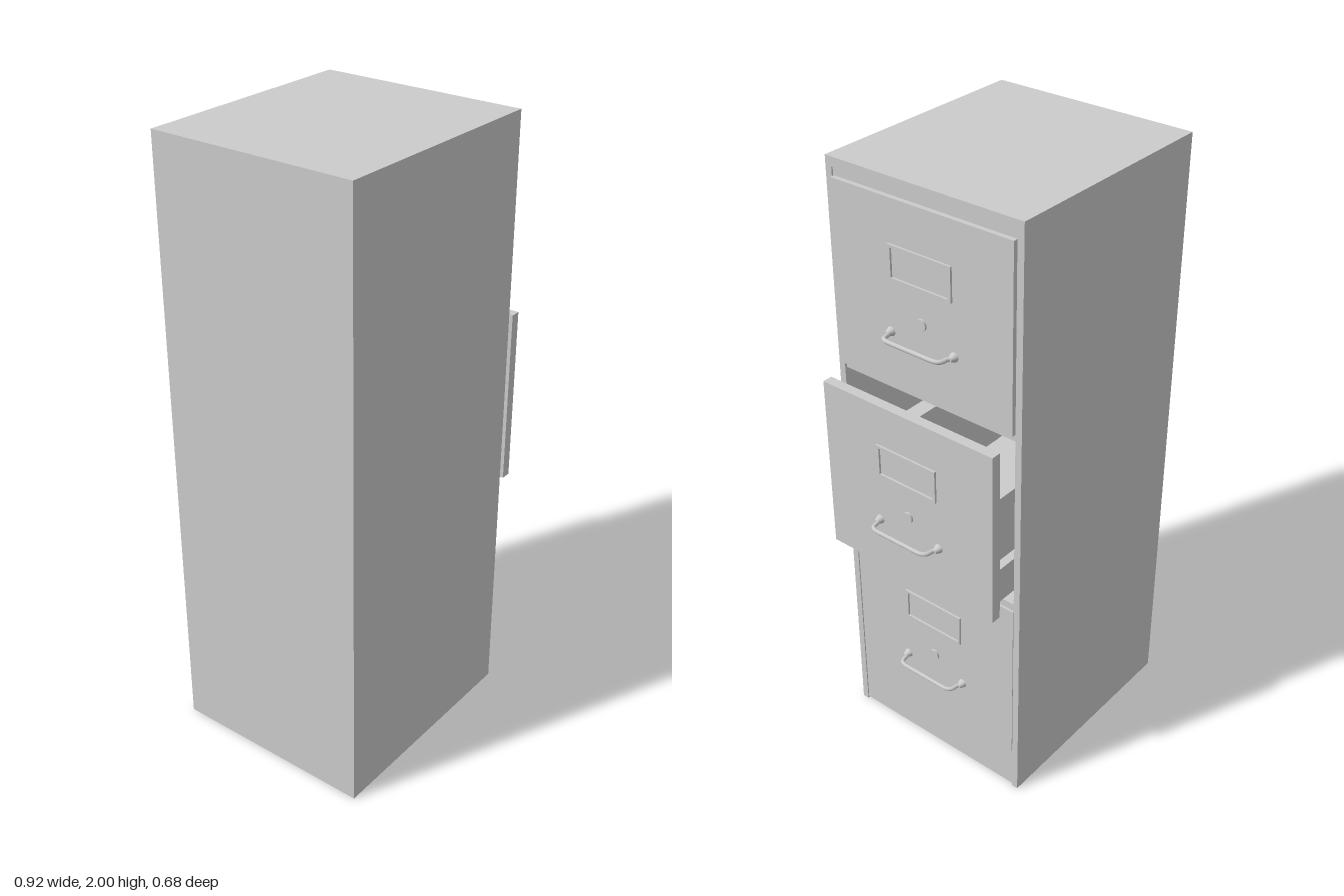
import * as THREE from 'three';

const grey = new THREE.MeshStandardMaterial({ color: 0xcccccc });

function mesh(parent, name, geometry) {
  const m = new THREE.Mesh(geometry, grey);
  m.name = name;
  parent.add(m);
  return m;
}

// Box given by its lower and upper limits on each axis
function block(parent, name, [x0, x1], [y0, y1], [z0, z1]) {
  const m = mesh(parent, name, new THREE.BoxGeometry(x1 - x0, y1 - y0, z1 - z0));
  m.position.set((x0 + x1) / 2, (y0 + y1) / 2, (z0 + z1) / 2);
  return m;
}

// Rectangular card holder with a raised rim
function labelFrame(parent) {
  const rect = (path, w, h) => path.moveTo(-w, -h).lineTo(w, -h).lineTo(w, h).lineTo(-w, h).closePath();
  const shape = rect(new THREE.Shape(), 0.112, 0.054);
  shape.holes.push(rect(new THREE.Path(), 0.102, 0.045));
  const m = mesh(parent, 'labelFrame', new THREE.ExtrudeGeometry(shape, { depth: 0.007, bevelEnabled: false }));
  m.rotation.y = Math.PI / 2;
  m.position.y = 0.393;
}

// Bowed pull with two flared feet
function handle(parent) {
  const group = new THREE.Group();
  group.name = 'handle';
  group.position.y = 0.175;
  parent.add(group);
  const v = (x, z) => new THREE.Vector3(x, 0, z);
  const path = new THREE.CurvePath();
  path.add(new THREE.LineCurve3(v(0.005, -0.118), v(0.022, -0.108)));
  path.add(new THREE.CubicBezierCurve3(v(0.022, -0.108), v(0.05, -0.108), v(0.053, -0.095), v(0.053, -0.07)));
  path.add(new THREE.LineCurve3(v(0.053, -0.07), v(0.053, 0.07)));
  path.add(new THREE.CubicBezierCurve3(v(0.053, 0.07), v(0.053, 0.095), v(0.05, 0.108), v(0.022, 0.108)));
  path.add(new THREE.LineCurve3(v(0.022, 0.108), v(0.005, 0.118)));
  mesh(group, 'grip', new THREE.TubeGeometry(path, 64, 0.007, 10));
  for (const s of [-1, 1]) {
    const foot = mesh(group, 'handleFoot', new THREE.CylinderGeometry(0.007, 0.015, 0.02, 12));
    foot.rotation.z = -Math.PI / 2;
    foot.position.set(0.01, 0, s * 0.115);
  }
}

// Drawer front with its fittings; origin is at the bottom of its outer face
function drawer(parent, name, x, y, thickness) {
  const group = new THREE.Group();
  group.name = name;
  group.position.set(x, y, 0);
  parent.add(group);
  block(group, 'drawerFront', [-thickness, 0], [0, 0.58], [-0.317, 0.317]);
  labelFrame(group);
  const lock = mesh(group, 'lock', new THREE.CylinderGeometry(0.018, 0.018, 0.008, 20));
  lock.rotation.z = Math.PI / 2;
  lock.position.set(0.003, 0.235, 0);
  handle(group);
  return group;
}

export function createModel() {
  const cabinet = new THREE.Group();
  cabinet.name = 'filingCabinet';

  // Outer shell, open at the front
  block(cabinet, 'topPanel', [-0.46, 0.303], [1.97, 2], [-0.342, 0.342]);
  block(cabinet, 'backPanel', [-0.46, -0.44], [0, 1.97], [-0.342, 0.342]);
  for (const s of [-1, 1]) {
    const z = [s * 0.32, s * 0.342].sort((a, b) => a - b);
    block(cabinet, 'sidePanel', [-0.44, 0.303], [0, 1.97], z);
  }
  block(cabinet, 'bottomPanel', [-0.44, 0.295], [0.006, 0.025], [-0.32, 0.32]);
  block(cabinet, 'kickPlate', [0.275, 0.299], [0.006, 0.152], [-0.32, 0.32]);
  block(cabinet, 'headerRail', [0.27, 0.298], [1.945, 1.97], [-0.32, 0.32]);

  // Dividers between the drawers
  for (const y of [0.735, 1.34]) {
    block(cabinet, 'divider', [-0.44, 0.295], [y, y + 0.025], [-0.32, 0.32]);
  }

  // Closed drawers and the middle one pulled out
  drawer(cabinet, 'bottomDrawer', 0.302, 0.155, 0.03);
  const middle = drawer(cabinet, 'middleDrawer', 0.398, 0.76, 0.033);
  drawer(cabinet, 'topDrawer', 0.313, 1.365, 0.033);

  // Side walls and runners of the open drawer
  for (const s of [-1, 1]) {
    const span = (a, b) => [s * a, s * b].sort((p, q) => p - q);
    block(middle, 'drawerSide', [-0.75, -0.033], [0.08, 0.36], span(0.205, 0.26));
    block(middle, 'drawerRunner', [-0.75, -0.033], [0.02, 0.14], span(0.26, 0.288));
  }
  // Thin underside of the open drawer
  const base = mesh(middle, 'drawerBase', new THREE.PlaneGeometry(0.717, 0.52));
  base.rotation.x = Math.PI / 2;
  base.position.set(-0.3915, 0.08, 0);

  return cabinet;
}
